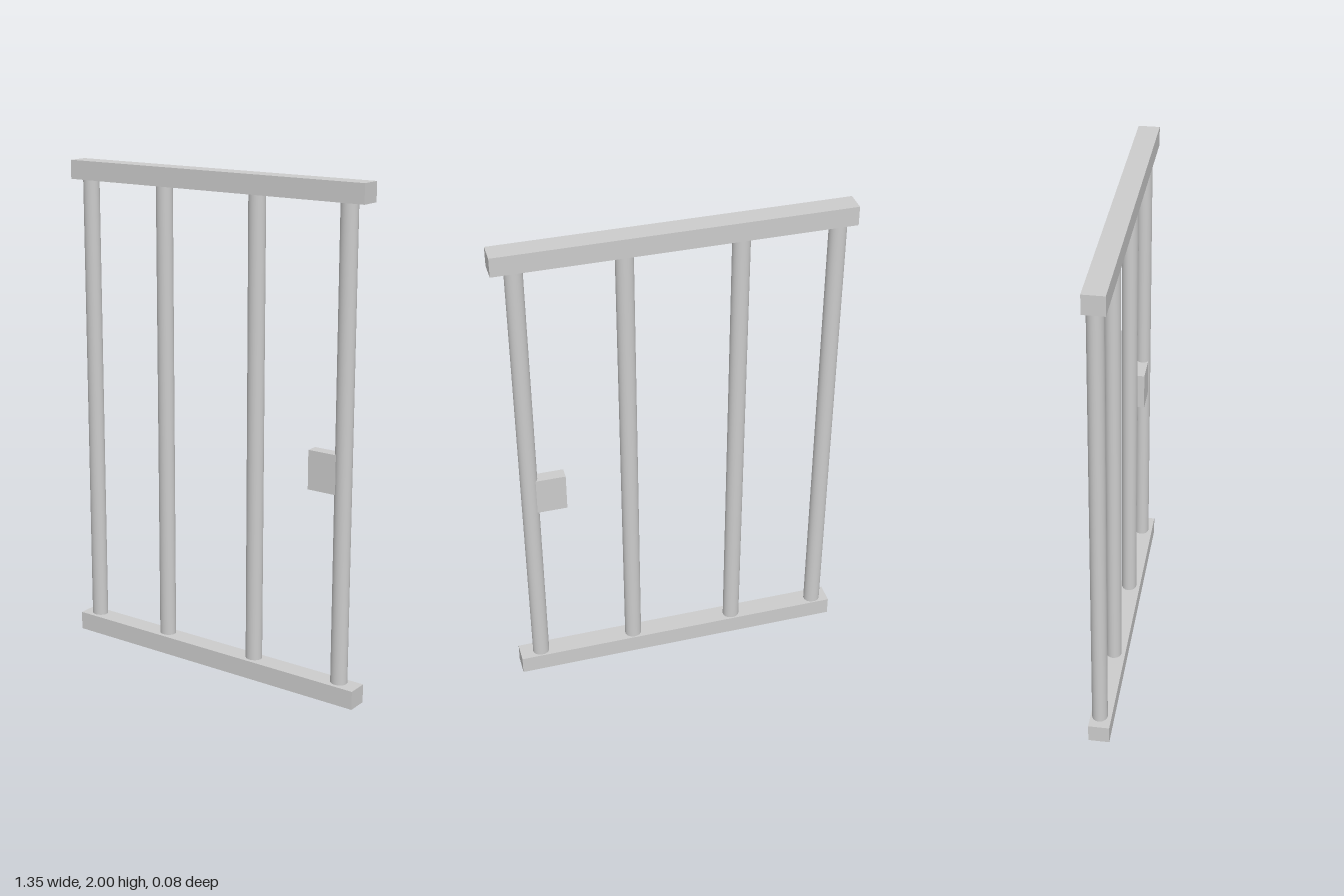
import * as THREE from 'three';

const HEIGHT = 2, RAIL_W = 1.35, RAIL_H = 0.075, RAIL_D = 0.083;

export function createModel() {
  const group = new THREE.Group();
  group.name = 'barredGate';
  const material = new THREE.MeshStandardMaterial({ color: 0xcccccc });

  const add = (name, geometry, x, y, z) => {
    const mesh = new THREE.Mesh(geometry, material);
    mesh.name = name;
    mesh.position.set(x, y, z);
    group.add(mesh);
    return mesh;
  };

  // Top and bottom rails
  const rail = new THREE.BoxGeometry(RAIL_W, RAIL_H, RAIL_D);
  add('bottomRail', rail, 0, RAIL_H / 2, 0);
  add('topRail', rail, 0, HEIGHT - RAIL_H / 2, 0);

  // Upright bars, slightly flattened front to back
  const bar = new THREE.CylinderGeometry(0.034, 0.034, HEIGHT - 2 * RAIL_H, 24);
  bar.scale(1, 1, 0.91);
  [-0.61, -0.243, 0.19, 0.588].forEach((x, i) => add(`bar${i + 1}`, bar, x, HEIGHT / 2, -0.005));

  // Lock plate set into the left bar
  add('lockPlate', new THREE.BoxGeometry(0.122, 0.155, 0.047), 0.508, 0.913, -0.004);

  return group;
}
